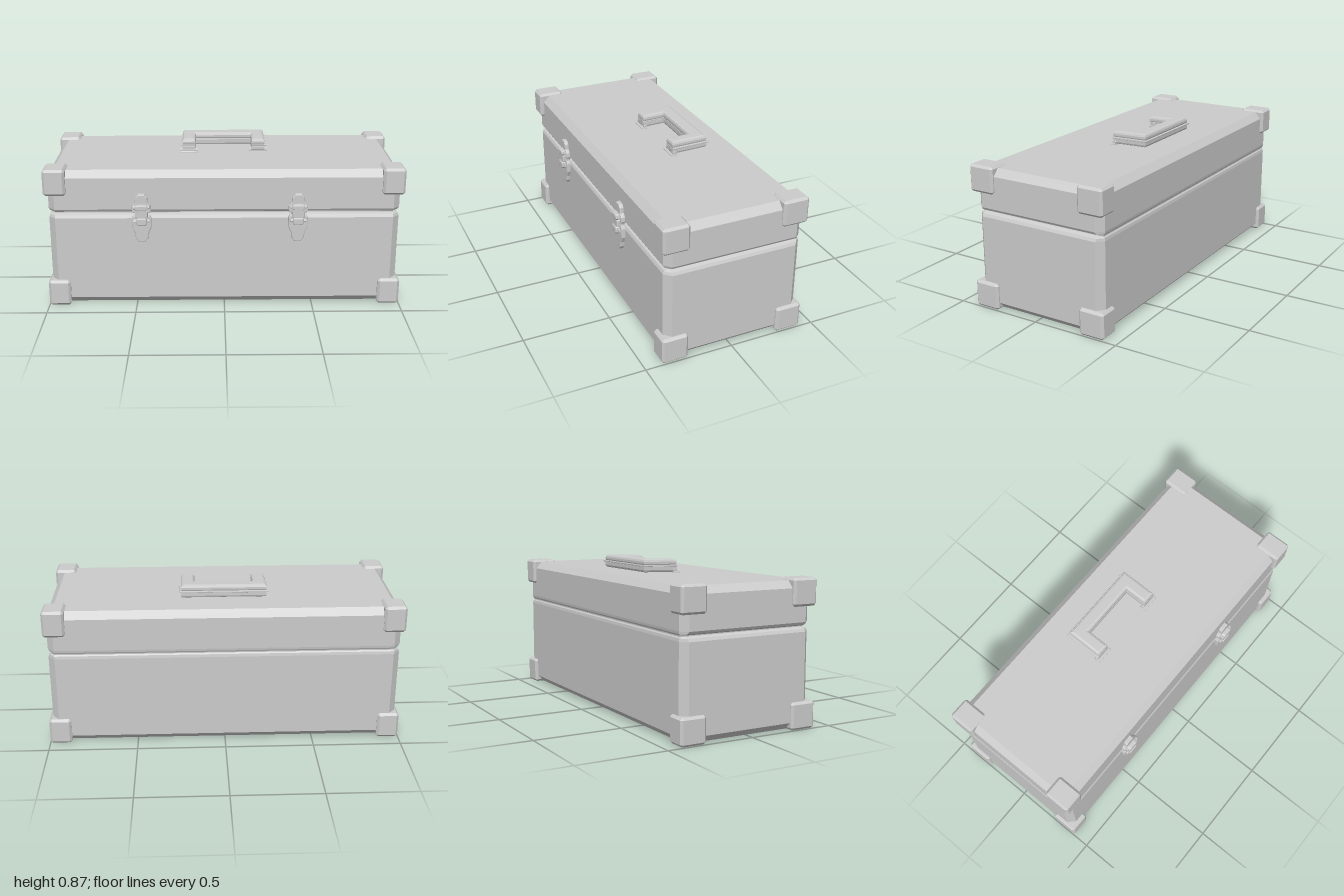
import * as THREE from 'three';

const grey = new THREE.MeshStandardMaterial({ color: 0xcccccc, flatShading: true });

function mesh(geometry, name, x = 0, y = 0, z = 0) {
  const m = new THREE.Mesh(geometry, grey);
  m.name = name;
  m.position.set(x, y, z);
  return m;
}

// Eight-sided horizontal ring: a rectangle with its corners cut by c
function ring(y, x0, x1, z0, z1, c) {
  return [
    [x0 + c, y, z1], [x1 - c, y, z1], [x1, y, z1 - c], [x1, y, z0 + c],
    [x1 - c, y, z0], [x0 + c, y, z0], [x0, y, z0 + c], [x0, y, z1 - c],
  ];
}

// Closed flat-faced solid through rings ordered from bottom to top
function loft(rings) {
  const p = [], n = rings[0].length;
  const tri = (a, b, c) => p.push(...a, ...b, ...c);
  for (let r = 0; r < rings.length - 1; r++) {
    for (let i = 0; i < n; i++) {
      const j = (i + 1) % n, a = rings[r], b = rings[r + 1];
      tri(a[i], a[j], b[j]);
      tri(a[i], b[j], b[i]);
    }
  }
  const bottom = rings[0], top = rings[rings.length - 1];
  for (let i = 1; i < n - 1; i++) {
    tri(bottom[0], bottom[i + 1], bottom[i]);
    tri(top[0], top[i], top[i + 1]);
  }
  const g = new THREE.BufferGeometry();
  g.setAttribute('position', new THREE.Float32BufferAttribute(p, 3));
  g.computeVertexNormals();
  return g;
}

// Box with all edges chamfered by c, centred on the origin
function chamferBox(w, h, d, c) {
  const x = w / 2, y = h / 2, z = d / 2, e = c * 0.02;
  return loft([
    ring(-y, -x + c, x - c, -z + c, z - c, e), ring(-y + c, -x, x, -z, z, c),
    ring(y - c, -x, x, -z, z, c), ring(y, -x + c, x - c, -z + c, z - c, e),
  ]);
}

// Ring of the case at height y, drawn in by inset (and by back at the rear)
function caseRing(y, inset, back = inset) {
  return ring(y, -0.98 + inset, 0.98 - inset, -0.408 + back, 0.38 - inset, Math.max(0.037 - inset, 0.001));
}

// Mirrored plate outline from [half width, y] points, extruded forward
function plate(points, depth, bevel) {
  const pts = [...points, ...points.slice().reverse().map(([x, y]) => [-x, y])];
  const shape = new THREE.Shape(pts.map(([x, y]) => new THREE.Vector2(x, y)));
  return new THREE.ExtrudeGeometry(shape, {
    depth: depth - bevel, bevelEnabled: true, bevelThickness: bevel, bevelSize: bevel,
    bevelOffset: -bevel, bevelSegments: 2,
  });
}

function makeLatch(x) {
  const g = new THREE.Group();
  g.name = 'latch';
  g.position.set(x, 0, 0.38);
  g.add(mesh(plate([[0.048, 0.56], [0.054, 0.575], [0.052, 0.6], [0.036, 0.62], [0.033, 0.65], [0.018, 0.668]], 0.022, 0.006), 'upperPlate'));
  g.add(mesh(plate([[0.018, 0.39], [0.034, 0.41], [0.038, 0.44], [0.054, 0.475], [0.054, 0.53], [0.046, 0.545]], 0.022, 0.006), 'lowerPlate'));
  g.add(mesh(plate([[0.022, 0.493], [0.03, 0.502], [0.03, 0.53], [0.022, 0.537]], 0.046, 0.008), 'lowerLever'));
  g.add(mesh(plate([[0.022, 0.53], [0.035, 0.54], [0.035, 0.575], [0.026, 0.582]], 0.04, 0.006), 'leverBody'));
  g.add(mesh(plate([[0.026, 0.578], [0.036, 0.59], [0.033, 0.608], [0.022, 0.613]], 0.046, 0.008), 'hook'));
  for (const y of [0.516, 0.595]) {
    const pin = new THREE.CylinderGeometry(0.009, 0.009, 0.09, 8).rotateZ(Math.PI / 2);
    g.add(mesh(pin, 'latchPin', 0, y, 0.026));
  }
  return g;
}

// U-shaped outline of the grip; the open side faces the front
function gripShape(out) {
  const x = 0.24 + out, back = 0.218 + out;
  return new THREE.Shape([
    [-x, 0.006], [-0.163, 0.006], [-0.163, 0.138], [0.163, 0.138],
    [0.163, 0.006], [x, 0.006], [x, back], [-x, back],
  ].map(([a, b]) => new THREE.Vector2(a, b)));
}

function slab(out, height, bevel) {
  return new THREE.ExtrudeGeometry(gripShape(out), {
    depth: height - 2 * bevel, bevelEnabled: true, bevelThickness: bevel, bevelSize: bevel,
    bevelOffset: -bevel, bevelSegments: 2,
  }).rotateX(-Math.PI / 2).translate(0, bevel, 0);
}

function makeHandle() {
  const g = new THREE.Group();
  g.name = 'handle';
  g.position.y = 0.798;
  // Folded back, resting at a slight tilt
  const grip = new THREE.Group();
  grip.name = 'grip';
  grip.rotation.x = 0.025;
  grip.add(mesh(slab(0, 0.042, 0.012), 'gripLower'));
  grip.add(mesh(slab(0, 0.042, 0.015), 'gripUpper', 0, 0.032, 0));
  grip.add(mesh(slab(0.01, 0.009, 0.002), 'gripSeam', 0, 0.032, 0));
  g.add(grip);
  // Feet and hinge knuckles
  for (const s of [-1, 1]) {
    g.add(mesh(chamferBox(0.105, 0.01, 0.036, 0.003), 'handleFoot', s * 0.202, 0, -0.01));
    const knuckle = new THREE.CylinderGeometry(0.011, 0.011, 0.1, 10).rotateZ(Math.PI / 2);
    g.add(mesh(knuckle, 'handleKnuckle', s * 0.202, 0.009, -0.017));
  }
  return g;
}

export function createModel() {
  const model = new THREE.Group();
  model.name = 'toolbox';

  // Lower case and lid, both bevelled along the seam
  model.add(mesh(loft([
    caseRing(0.006, 0.036), caseRing(0.043, 0), caseRing(0.524, 0),
    caseRing(0.54, 0.008, 0.003), caseRing(0.548, 0.028, 0.01),
  ]), 'lowerCase'));
  model.add(mesh(loft([
    caseRing(0.554, 0.028, 0.006), caseRing(0.562, 0.008, 0.002), caseRing(0.575, 0),
    caseRing(0.757, 0), caseRing(0.796, 0.036),
  ]), 'lid'));
  // Inner rim closing the seam
  model.add(mesh(new THREE.BoxGeometry(1.89, 0.04, 0.75), 'innerRim', 0, 0.55, -0.024));

  // Corner guards
  for (const x of [-0.937, 0.937]) {
    for (const y of [0.078, 0.735]) {
      for (const z of [-0.35, 0.328]) {
        model.add(mesh(chamferBox(0.124, 0.15, 0.15, 0.013), 'cornerGuard', x, y, z));
      }
    }
  }

  model.add(makeLatch(-0.46), makeLatch(0.41), makeHandle());
  return model;
}
